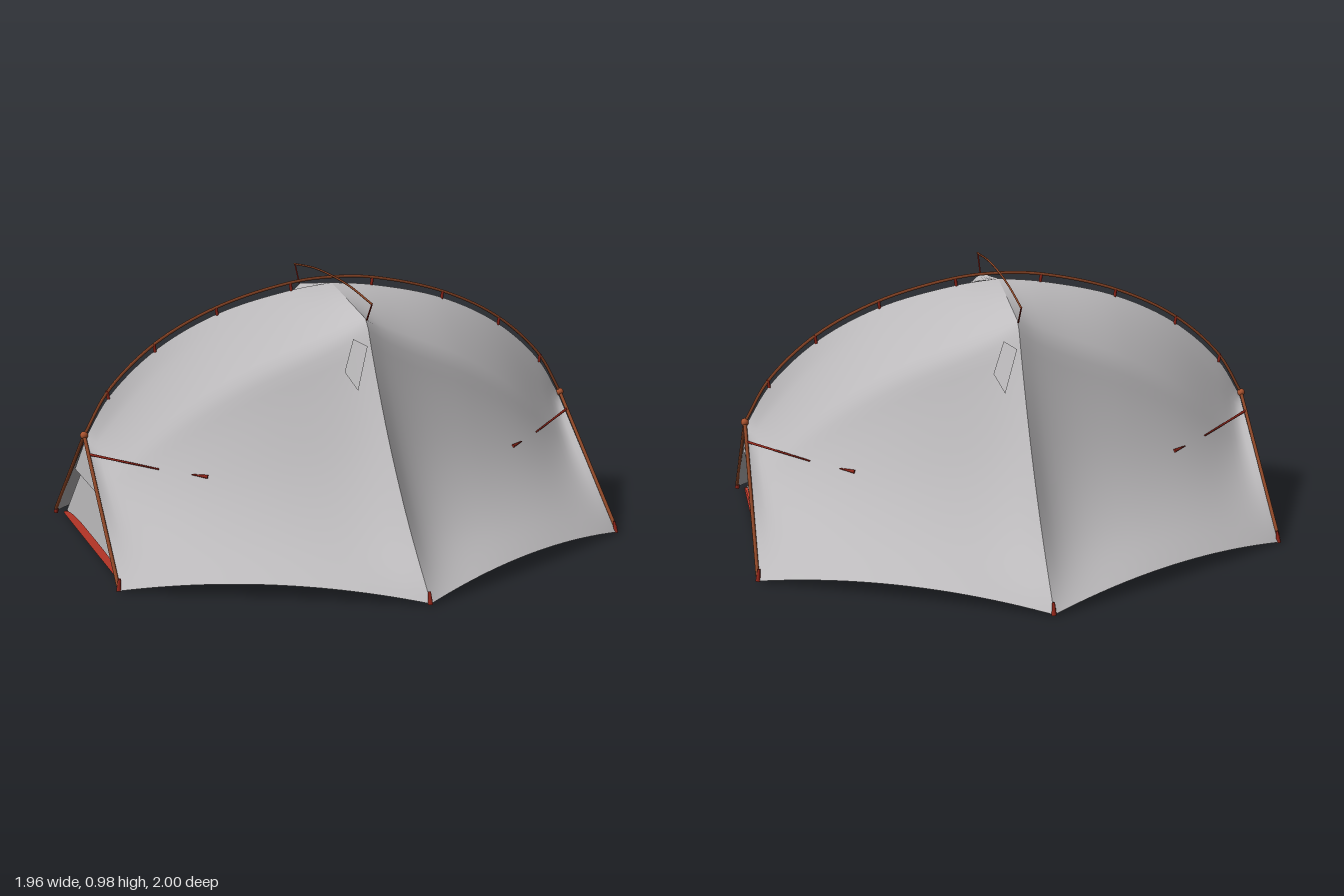
import * as THREE from 'three';

const V = (x, y, z) => new THREE.Vector3(x, y, z);
const material = (name, color, double = false) => {
  const m = new THREE.MeshStandardMaterial({ color });
  m.name = name;
  if (double) m.side = THREE.DoubleSide;
  return m;
};

export function createModel() {
  const tent = new THREE.Group();
  tent.name = 'tent';
  const mats = {
    fabric: material('grey fabric', 0xbebcbe, true),
    floor: material('red groundsheet', 0xc83c2c, true),
    pole: material('brown pole', 0x8a4526),
    hub: material('copper fitting', 0xa9532f),
    cord: material('dark red webbing', 0x8f2418),
  };
  const add = (name, geometry, mat, parent = tent) => {
    const mesh = new THREE.Mesh(geometry, mat);
    mesh.name = name;
    parent.add(mesh);
    return mesh;
  };
  // Straight rod, optionally tapered, between two points
  const rod = (name, a, b, r, mat, r2 = r) => {
    const d = b.clone().sub(a);
    const mesh = add(name, new THREE.CylinderGeometry(r2, r, d.length(), 8), mat);
    mesh.position.copy(a).addScaledVector(d, 0.5);
    mesh.quaternion.setFromUnitVectors(V(0, 1, 0), d.normalize());
  };
  const tube = (name, pts, r, mat, n) =>
    add(name, new THREE.TubeGeometry(new THREE.CatmullRomCurve3(pts), n, r, 6), mat);

  // Smooth surface through rows of points
  const surface = (rows, flip = false) => {
    const pos = [], index = [], n = rows[0].length;
    rows.forEach((row, i) => row.forEach((p, j) => {
      pos.push(p.x, p.y, p.z);
      if (i === rows.length - 1 || j === n - 1) return;
      const a = i * n + j, b = a + 1, c = a + n, d = c + 1;
      if (flip) index.push(a, c, b, b, c, d);
      else index.push(a, b, c, b, d, c);
    }));
    const g = new THREE.BufferGeometry();
    g.setAttribute('position', new THREE.Float32BufferAttribute(pos, 3));
    g.setIndex(index);
    g.computeVertexNormals();
    return g;
  };

  // Boundary curves of one quarter of the fly sheet
  const arch = new THREE.CatmullRomCurve3([V(0, 0.945, 0), V(0.16, 0.927, 0), V(0.45, 0.857, 0),
    V(0.69, 0.737, 0), V(0.87, 0.575, 0), V(0.96, 0.43, 0)]);
  const spine = new THREE.CurvePath();
  spine.add(new THREE.LineCurve3(V(0, 0.945, 0), V(0, 0.875, 0.37)));
  spine.add(new THREE.CatmullRomCurve3([V(0, 0.875, 0.37), V(0, 0.72, 0.45), V(0, 0.48, 0.595),
    V(0, 0.235, 0.78), V(0, 0.005, 0.995)]));
  const hem = (s) => V(0.97 * s, 0.005 + 0.18 * s * (1 - s), 0.995 - 0.495 * s);
  // The deepest sag runs from the end hub to the middle of the spine
  const sag = (s, t) => 0.12 * (1 - (2 * s - 1) ** 6) * Math.sin(Math.PI * t ** (1.4 - 0.95 * s));

  // Fly: arch to hem, pushed up towards the spine and sagging in between
  const flyPoint = (s, t) => {
    const p = arch.getPointAt(s).lerp(hem(s), t);
    const lift = spine.getPointAt(t).sub(V(0, 0.945, 0).lerp(hem(0), t));
    p.addScaledVector(lift, (1 - s) ** 1.4);
    p.y -= sag(s, t);
    return p;
  };
  // Inner tent wall: lower arch down to the top of the groundsheet
  const innerPoint = (s, t) => {
    const a = arch.getPointAt(s);
    const p = V(a.x * 0.965, a.y - 0.05, 0).lerp(V(0.925 * s, 0.045, 0.465 - 0.06 * s ** 3), t);
    p.y -= 1.1 * sag(s, t) * (1 - t * t);
    return p;
  };
  const quarter = (fn, sx, sz, n) => surface(
    Array.from({ length: n + 1 }, (_, i) => Array.from({ length: n + 1 },
      (_, j) => fn(i / n, j / n).multiply(V(sx, 1, sz)))), sx * sz < 0);

  for (const sx of [1, -1]) {
    for (const sz of [1, -1]) {
      const M = (x, y, z) => V(x * sx, y, z * sz);
      add('flySheet', quarter(flyPoint, sx, sz, 32), mats.fabric);
      add('innerWall', quarter(innerPoint, sx, sz, 16), mats.fabric);

      // End legs, corner feet and side straps with their toggles
      rod('endLeg', M(0.965, 0.44, 0), M(0.973, 0.02, 0.49), 0.007, mats.pole);
      rod('cornerFoot', M(0.973, 0.002, 0.494), M(0.967, 0.045, 0.486), 0.009, mats.cord, 0.005);
      rod('sideStrap', M(0.965, 0.385, 0.065), M(0.75, 0.355, 0.24), 0.005, mats.cord, 0.003);
      rod('strapToggle', M(0.65, 0.347, 0.32), M(0.6, 0.342, 0.352), 0.002, mats.cord, 0.007);
    }

    // Clips that hang the fly from the arch pole
    for (const [x, y] of [[0.16, 0.927], [0.45, 0.857], [0.69, 0.737], [0.87, 0.575]]) {
      rod('poleClip', V(sx * x, y - 0.006, 0), V(sx * (x + 0.004), y + 0.026, 0), 0.006, mats.cord);
    }

    // Recessed end panel, and the flap that overhangs its upper half
    const triangle = (name, x, z, low, top) => add(name,
      surface([[V(sx * x, low, z), V(sx * x, low, -z)], [V(sx * x, top, 0), V(sx * x, top, 0)]], sx > 0),
      mats.fabric);
    triangle('endPanel', 0.935, 0.465, 0.015, 0.41);
    triangle('endFlap', 0.96, 0.19, 0.26, 0.425);
    add('endFlapUnderside', surface([-0.19, 0.19].map((z) =>
      [V(sx * 0.935, 0.26, z), V(sx * 0.96, 0.26, z)])), mats.fabric);

    // Hub joining the arch to the legs
    const hub = add('poleHub', new THREE.SphereGeometry(0.015, 16, 12), mats.hub);
    hub.position.set(sx * 0.965, 0.44, 0);
  }

  for (const sz of [1, -1]) {
    // Spreader strut and peg tab at each end of the spine
    rod('spreaderStrut', V(0, 0.942, 0.42 * sz), V(0, 0.875, 0.37 * sz), 0.003, mats.cord);
    rod('spineFoot', V(0, 0.001, 0.991 * sz), V(0, 0.045, 0.98 * sz), 0.009, mats.cord, 0.005);

    // Diamond vent flap lying on the fly beside the spine
    const [a, b, c, d] = [[0.09, 0.34], [0.05, 0.28], [0.012, 0.32], [0.06, 0.4]].map(([s, t]) => {
      const p = flyPoint(s, t);
      return V(-p.x * sz, p.y + 0.005, (p.z + 0.006) * sz);
    });
    add('ventFlap', surface([[a, b], [d, c]]), mats.fabric);
  }

  // Arch pole and crossing spreader pole
  const half = [[0.16, 0.956], [0.45, 0.883], [0.69, 0.763], [0.87, 0.6], [0.965, 0.44]];
  tube('archPole', [...half.map(([x, y]) => V(-x, y, 0)).reverse(), V(0, 0.967, 0),
    ...half.map(([x, y]) => V(x, y, 0))], 0.006, mats.pole, 80);
  tube('spreaderPole', [V(0, 0.942, -0.425), V(0, 0.966, -0.2), V(0, 0.972, 0),
    V(0, 0.966, 0.2), V(0, 0.942, 0.425)], 0.004, mats.pole, 40);

  // Groundsheet: flat floor with walls that dip at the corners
  const tray = new THREE.Group();
  tray.name = 'groundsheet';
  tent.add(tray);
  add('trayFloor', new THREE.BoxGeometry(1.89, 0.006, 0.95), mats.floor, tray).position.y = 0.004;
  const wall = (name, at) => {
    const u = Array.from({ length: 25 }, (_, i) => i / 12 - 1);
    add(name, surface([u.map((v) => at(v, 0.002)),
      u.map((v) => at(v, 0.008 + 0.042 * (1 - v ** 4)))]), mats.floor, tray);
  };
  for (const s of [1, -1]) {
    wall('traySide', (v, y) => V(v * 0.945, y, s * 0.475));
    wall('trayEnd', (v, y) => V(s * 0.945, y, v * 0.475));
  }
  return tent;
}
